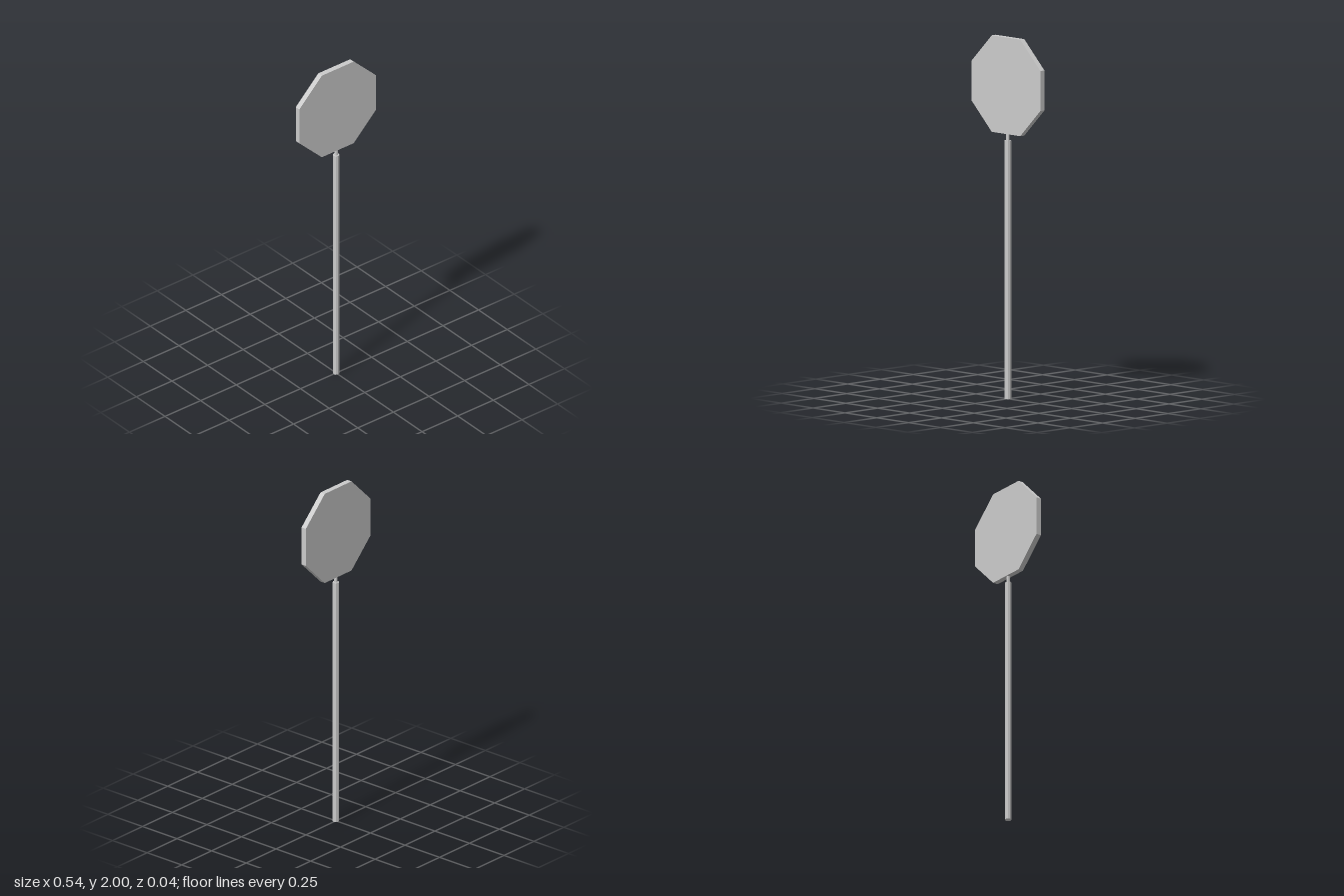
import * as THREE from 'three';

export function createModel() {
  const group = new THREE.Group();
  const material = new THREE.MeshStandardMaterial({ color: 0xcccccc, flatShading: true });

  const add = (name, geometry, y) => {
    const mesh = new THREE.Mesh(geometry, material);
    mesh.name = name;
    mesh.position.y = y;
    group.add(mesh);
    return mesh;
  };

  // Eight-sided upright with a corner facing the front
  const poleTop = 1.43;
  add('pole', new THREE.CylinderGeometry(0.0185, 0.0185, poleTop, 8), poleTop / 2);

  // Thin neck joining the pole to the plate
  const plateBottom = 1.466;
  const neckHeight = plateBottom - poleTop + 0.01;
  add('neck', new THREE.CylinderGeometry(0.01, 0.01, neckHeight, 8), poleTop + neckHeight / 2);

  // Octagonal plate with flat edges at the top, bottom and sides
  const halfWidth = 0.27, halfHeight = (2 - plateBottom) / 2;
  const plate = new THREE.CylinderGeometry(1, 1, 0.031, 8);
  plate.rotateY(Math.PI / 8);
  plate.rotateX(Math.PI / 2);
  const flat = Math.cos(Math.PI / 8);
  plate.scale(halfWidth / flat, halfHeight / flat, 1);
  add('signPlate', plate, 2 - halfHeight).position.z = -0.001;

  return group;
}
